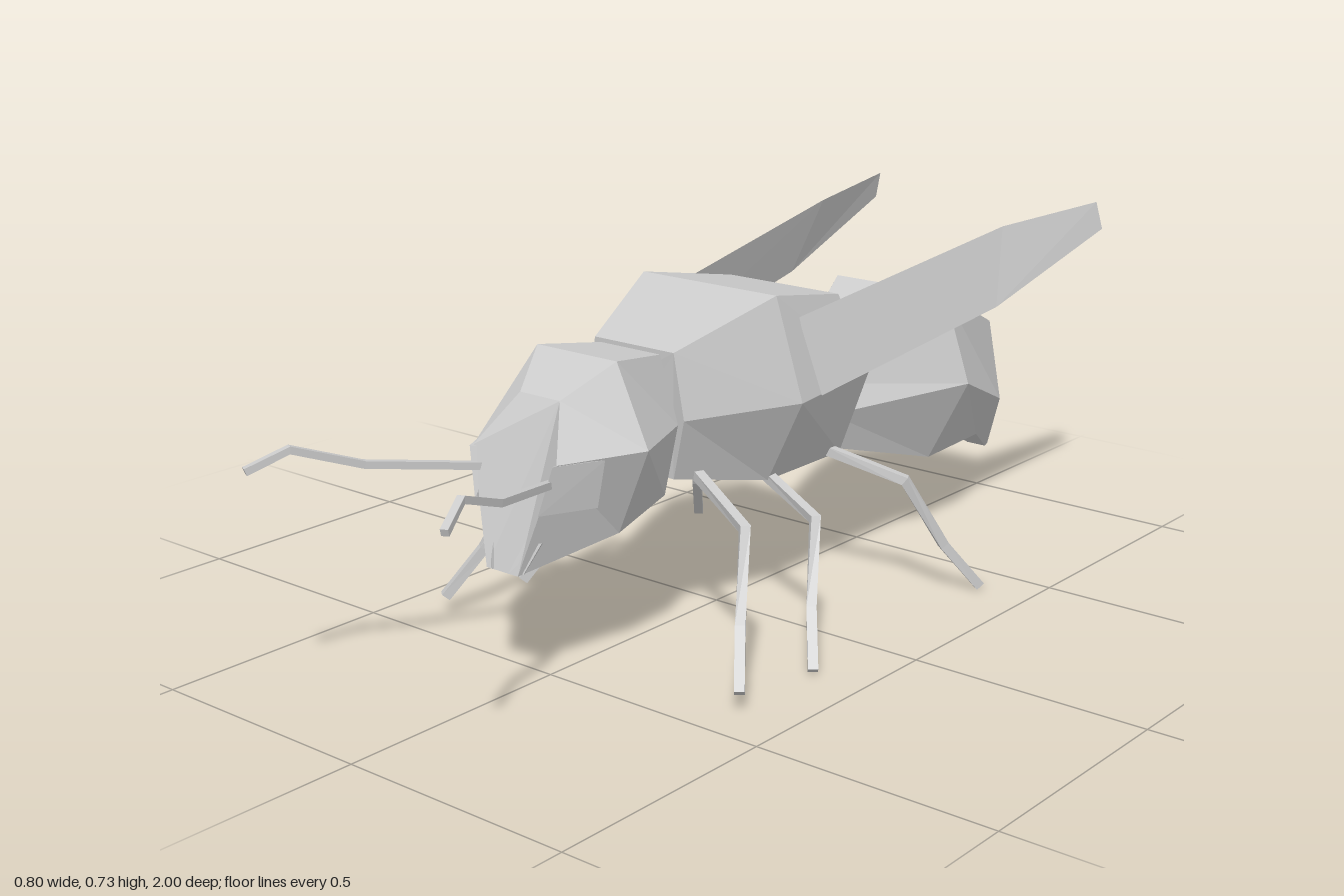
import * as THREE from 'three';
import { ConvexGeometry } from 'three/addons/geometries/ConvexGeometry.js';

const V = (x, y, z) => new THREE.Vector3(x, y, z);
const material = new THREE.MeshStandardMaterial({ color: 0xcccccc, flatShading: true });
const sheetMaterial = material.clone();
sheetMaterial.side = THREE.DoubleSide;

// Joins rings of points (counter-clockwise seen from the first end) into a closed faceted solid.
function loft(rings) {
  const p = [];
  const tri = (...corners) => corners.forEach((c) => p.push(c.x, c.y, c.z));
  const n = rings[0].length, last = rings[rings.length - 1];
  for (let r = 0; r + 1 < rings.length; r++) {
    const a = rings[r], b = rings[r + 1];
    for (let i = 0; i < n; i++) {
      const j = (i + 1) % n;
      tri(a[i], b[i], a[j]);
      tri(a[j], b[i], b[j]);
    }
  }
  for (let i = 1; i + 1 < n; i++) {
    tri(rings[0][0], rings[0][i], rings[0][i + 1]);
    tri(last[0], last[i + 1], last[i]);
  }
  return flat(p);
}

function flat(positions) {
  const g = new THREE.BufferGeometry();
  g.setAttribute('position', new THREE.Float32BufferAttribute(positions, 3));
  g.computeVertexNormals();
  return g;
}

// Six-sided symmetric section from its top, middle and bottom corners on the +x side.
const section = ([t, m, b]) => [
  V(...t), V(-t[0], t[1], t[2]), V(-m[0], m[1], m[2]),
  V(-b[0], b[1], b[2]), V(...b), V(...m),
];

// Square bar bent along a few points.
function bar(points, radius) {
  const path = points.map((q) => V(...q));
  return loft(path.map((c, k) => {
    const d = path[Math.min(k + 1, path.length - 1)].clone().sub(path[Math.max(k - 1, 0)]).normalize();
    const u = V(0, 1, 0).cross(d).normalize();
    const v = u.clone().cross(d);
    return [0, 1, 2, 3].map((i) => {
      const t = Math.PI / 4 + i * Math.PI / 2;
      return c.clone().addScaledVector(u, Math.cos(t) * radius).addScaledVector(v, Math.sin(t) * radius);
    });
  }));
}

export function createModel() {
  const group = new THREE.Group();
  const add = (name, geometry, mat = material) => {
    const mesh = new THREE.Mesh(geometry, mat);
    mesh.name = name;
    group.add(mesh);
  };

  // Body sections, each running front to back
  add('head', loft([
    [[0.05, 0.56, 0.51], [0.105, 0.465, 0.58], [0.04, 0.25, 0.62]],
    [[0.1, 0.622, 0.41], [0.175, 0.465, 0.41], [0.1, 0.29, 0.41]],
    [[0.075, 0.6, 0.26], [0.11, 0.465, 0.25], [0.08, 0.32, 0.255]],
  ].map(section)));

  add('thorax', loft([
    [[0.1, 0.605, 0.25], [0.125, 0.475, 0.25], [0.09, 0.35, 0.24]],
    [[0.17, 0.685, 0.025], [0.225, 0.475, 0.01], [0.14, 0.3, 0.01]],
    [[0.14, 0.64, -0.22], [0.185, 0.475, -0.27], [0.12, 0.29, -0.26]],
  ].map(section)));

  add('abdomen', loft([
    [[0.06, 0.42, -0.3], [0.085, 0.36, -0.28], [0.06, 0.29, -0.26]],
    [[0.145, 0.57, -0.61], [0.205, 0.375, -0.62], [0.12, 0.195, -0.6]],
    [[0.105, 0.455, -0.86], [0.11, 0.26, -0.91], [0.055, 0.165, -0.9]],
    [[0.012, 0.125, -1], [0.028, 0.115, -0.995], [0.025, 0.108, -0.99]],
  ].map(section)));

  // Narrow joints between the body sections
  const joint = (name, w, h, y, z, depth) => add(name, new THREE.BoxGeometry(w, h, depth).translate(0, y, z));
  joint('neck', 0.14, 0.2, 0.46, 0.25, 0.06);
  joint('waist', 0.12, 0.1, 0.35, -0.27, 0.08);

  const legs = {
    frontLeg: [[0.11, 0.35, 0.19], [0.285, 0.3, 0.265], [0.335, 0.14, 0.34], [0.385, 0.042, 0.405]],
    middleLeg: [[0.11, 0.31, -0.01], [0.285, 0.26, 0.045], [0.335, 0.11, 0.12], [0.385, 0.012, 0.18]],
    hindLeg: [[0.11, 0.31, -0.21], [0.285, 0.26, -0.265], [0.335, 0.11, -0.34], [0.385, 0.012, -0.405]],
  };
  const antenna = [[0.085, 0.425, 0.57], [0.17, 0.465, 0.79], [0.215, 0.515, 0.92], [0.25, 0.485, 0.992]];

  for (const s of [1, -1]) {
    const side = s > 0 ? 'left' : 'right';
    const mirror = (points) => points.map(([x, y, z]) => [x * s, y, z]);
    for (const [name, path] of Object.entries(legs)) add(`${side} ${name}`, bar(mirror(path), 0.014));
    add(`${side} antenna`, bar(mirror(antenna), 0.01));

    // Thin tilted wing: upper edge and lower edge from root to tip
    const upper = mirror([[0.175, 0.63, -0.04], [0.24, 0.72, -0.68], [0.295, 0.735, -0.985]]);
    const lower = mirror([[0.22, 0.475, -0.06], [0.275, 0.56, -0.61], [0.31, 0.675, -0.99]]);
    const wing = [];
    for (let i = 0; i < 2; i++) {
      wing.push(...upper[i], ...lower[i], ...upper[i + 1]);
      wing.push(...upper[i + 1], ...lower[i], ...lower[i + 1]);
    }
    add(`${side} wing`, flat(wing), sheetMaterial);

    // Raised eye plate and small jaw
    const hull = (points) => new ConvexGeometry(mirror(points).map((q) => V(...q)));
    add(`${side} eye`, hull([
      [0.105, 0.465, 0.59], [0.15, 0.465, 0.5], [0.13, 0.37, 0.5], [0.08, 0.37, 0.605],
      [0.08, 0.455, 0.55], [0.08, 0.37, 0.52],
    ]));
    add(`${side} jaw`, hull([
      [0.04, 0.31, 0.6], [0.068, 0.31, 0.585], [0.05, 0.3, 0.55],
      [0.02, 0.252, 0.625], [0.045, 0.252, 0.61], [0.03, 0.25, 0.57],
    ]));
  }
  return group;
}
